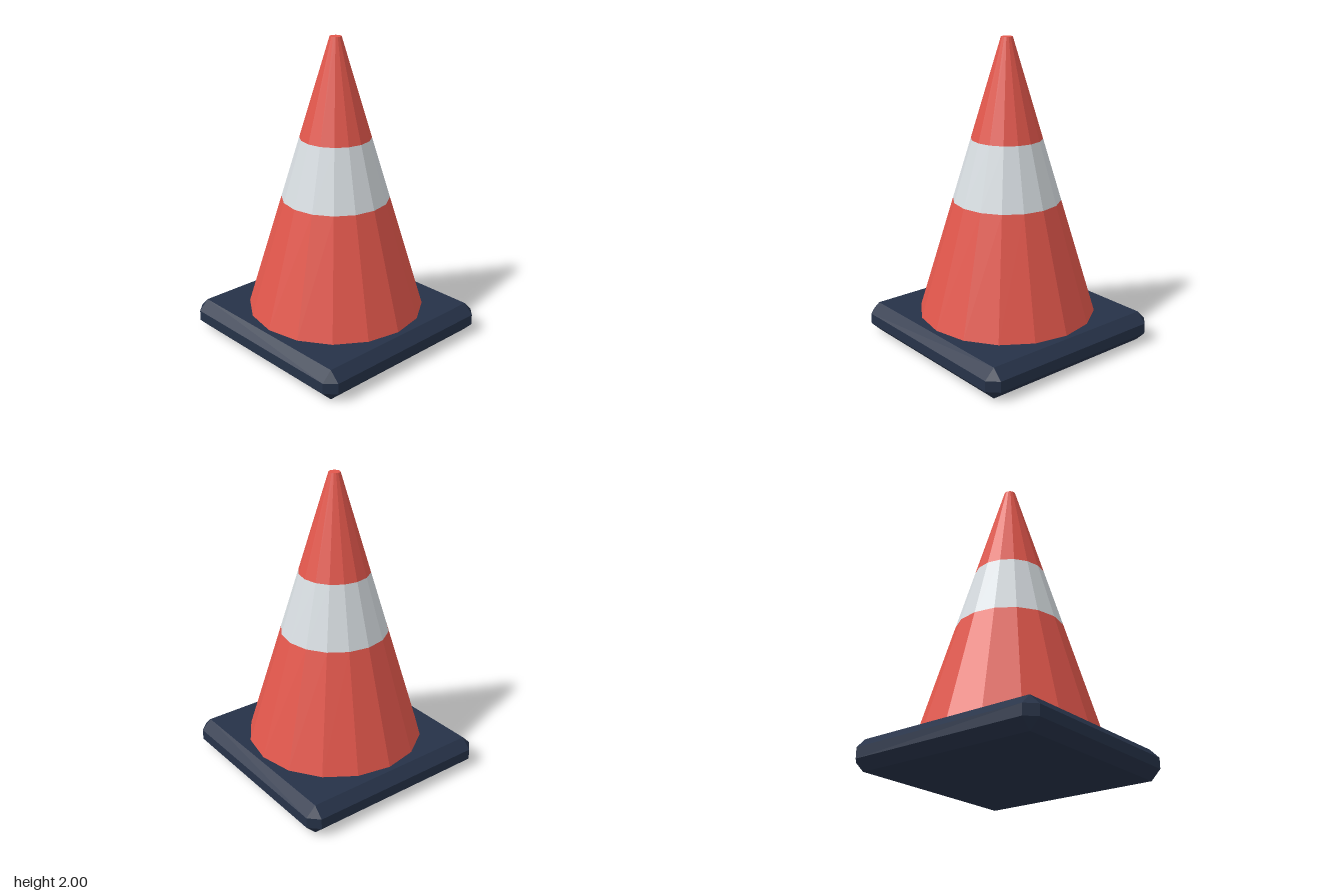
import * as THREE from 'three';
import { ConvexGeometry } from 'three/addons/geometries/ConvexGeometry.js';

const material = (name, color) => {
  const m = new THREE.MeshStandardMaterial({ color, flatShading: true });
  m.name = name;
  return m;
};

export function createModel() {
  const group = new THREE.Group();
  group.name = 'trafficCone';
  const red = material('coneRed', 0xe2574c);
  const white = material('bandWhite', 0xd6dce0);
  const navy = material('baseNavy', 0x263248);

  const add = (name, geometry, mat, y) => {
    const mesh = new THREE.Mesh(geometry, mat);
    mesh.name = name;
    mesh.position.y = y;
    group.add(mesh);
  };

  // Square base with every edge and corner chamfered
  const half = 0.68, halfHeight = 0.1, bevel = 0.065;
  const points = [];
  for (const x of [-1, 1]) for (const y of [-1, 1]) for (const z of [-1, 1]) {
    for (let axis = 0; axis < 3; axis++) {
      const inset = (i) => (i === axis ? 0 : bevel);
      points.push(new THREE.Vector3(
        x * (half - inset(0)), y * (halfHeight - inset(1)), z * (half - inset(2))));
    }
  }
  add('base', new ConvexGeometry(points), navy, halfHeight);

  // Sixteen-sided cone, stacked from three tapering sections
  const bottom = 0.2, top = 2, bottomRadius = 0.58, topRadius = 0.037;
  const radiusAt = (y) =>
    THREE.MathUtils.mapLinear(y, bottom, top, bottomRadius, topRadius);
  const section = (name, y0, y1, mat, open) => add(name,
    new THREE.CylinderGeometry(radiusAt(y1), radiusAt(y0), y1 - y0, 16, 1, open),
    mat, (y0 + y1) / 2);
  section('lowerCone', bottom, 0.96, red, true);
  section('reflectiveBand', 0.96, 1.36, white, true);
  section('coneTip', 1.36, top, red, false);

  return group;
}
